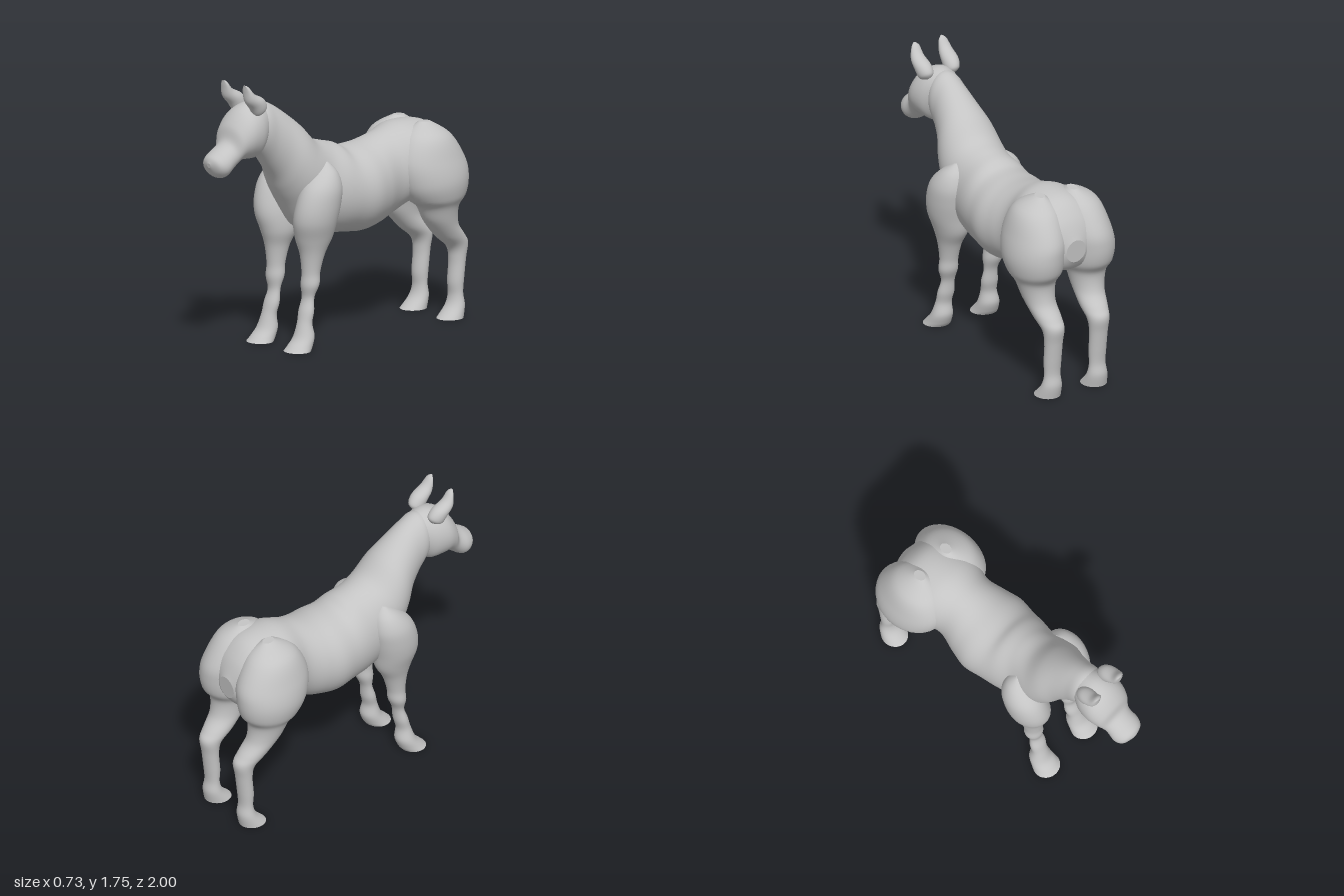
import * as THREE from 'three';

const coat = new THREE.MeshStandardMaterial({ color: 0xc4c4c4 });
coat.name = 'plain grey coat';

const spline = (p0, p1, p2, p3, t) => 0.5 * (2 * p1 + (p2 - p0) * t
  + (2 * p0 - 5 * p1 + 4 * p2 - p3) * t * t + (3 * p1 - p0 - 3 * p2 + p3) * t * t * t);

// Smooth loft through elliptical rings. Each section is
// [upper z, upper y, lower z, lower y, half width, centre x]; the first two
// points are opposite ends of the ring in the side profile.
function loft(name, sections, side = 1, sides = 36, steps = 6) {
  const rings = [];
  const n = sections.length;
  const at = (i, k) => sections[Math.min(n - 1, Math.max(0, i))][k] ?? 0;
  for (let i = 0; i < n - 1; i++) {
    for (let s = 0; s < steps + (i === n - 2 ? 1 : 0); s++) {
      rings.push([0, 1, 2, 3, 4, 5].map((k) =>
        spline(at(i - 1, k), at(i, k), at(i + 1, k), at(i + 2, k), s / steps)));
    }
  }
  const pos = [];
  const index = [];
  const addRing = ([az, ay, bz, by, w, cx]) => {
    for (let j = 0; j < sides; j++) {
      const c = Math.cos((j / sides) * Math.PI * 2);
      const s = Math.sin((j / sides) * Math.PI * 2);
      pos.push(side * cx + w * s,
        Math.max(0, (ay + by) / 2 + c * (ay - by) / 2),
        (az + bz) / 2 + c * (az - bz) / 2);
    }
  };
  rings.forEach(addRing);
  for (let i = 0; i < rings.length - 1; i++) {
    for (let j = 0; j < sides; j++) {
      const a = i * sides + j;
      const b = i * sides + (j + 1) % sides;
      index.push(a, b, b + sides, a, b + sides, a + sides);
    }
  }
  // End caps with their own vertices, so the rims stay sharp
  for (const first of [true, false]) {
    const r = first ? rings[0] : rings[rings.length - 1];
    const start = pos.length / 3;
    addRing(r);
    pos.push(side * r[5], (r[1] + r[3]) / 2, (r[0] + r[2]) / 2);
    for (let j = 0; j < sides; j++) {
      const a = start + j;
      const b = start + (j + 1) % sides;
      index.push(start + sides, first ? b : a, first ? a : b);
    }
  }
  const geo = new THREE.BufferGeometry();
  geo.setAttribute('position', new THREE.Float32BufferAttribute(pos, 3));
  geo.setIndex(index);
  geo.computeVertexNormals();
  const mesh = new THREE.Mesh(geo, coat);
  mesh.name = name;
  return mesh;
}

// Neck, chest, barrel and rump in one sweep
const TRUNK = [
  [0.66, 1.58, 0.66, 1.32, 0.08],
  [0.58, 1.6, 0.6, 1.26, 0.12],
  [0.5, 1.57, 0.53, 1.17, 0.13],
  [0.4, 1.505, 0.47, 1.085, 0.155],
  [0.28, 1.41, 0.43, 1.0, 0.195],
  [0.17, 1.3, 0.38, 0.91, 0.215],
  [0.06, 1.26, 0.27, 0.74, 0.22],
  [-0.03, 1.235, 0.09, 0.675, 0.245],
  [-0.1, 1.2, -0.07, 0.655, 0.26],
  [-0.2, 1.197, -0.2, 0.64, 0.275],
  [-0.3, 1.207, -0.33, 0.66, 0.25],
  [-0.43, 1.24, -0.45, 0.7, 0.22],
  [-0.58, 1.28, -0.58, 0.76, 0.26],
  [-0.77, 1.26, -0.74, 0.77, 0.25],
  [-0.88, 1.16, -0.87, 0.81, 0.2],
  [-0.94, 1.03, -0.93, 0.88, 0.07],
];

// Muzzle back to poll
const HEAD = [
  [1.0, 1.265, 0.995, 1.235, 0.015],
  [0.985, 1.3, 0.96, 1.178, 0.078],
  [0.94, 1.333, 0.905, 1.16, 0.105],
  [0.862, 1.385, 0.84, 1.205, 0.103],
  [0.83, 1.48, 0.78, 1.25, 0.135],
  [0.755, 1.57, 0.72, 1.25, 0.155],
  [0.66, 1.607, 0.64, 1.25, 0.143],
  [0.56, 1.59, 0.58, 1.31, 0.1],
];

// Ear from tip to base
const EAR = [
  [0.79, 1.745, 0.787, 1.74, 0.008, 0.1],
  [0.765, 1.735, 0.785, 1.7, 0.03, 0.1],
  [0.72, 1.685, 0.775, 1.635, 0.045, 0.103],
  [0.645, 1.645, 0.735, 1.585, 0.053, 0.1],
  [0.61, 1.595, 0.7, 1.535, 0.045, 0.095],
  [0.63, 1.55, 0.66, 1.535, 0.01, 0.09],
];

// Shoulder down to hoof
const FRONT_LEG = [
  [0.16, 1.175, 0.2, 1.17, 0.03, 0.16],
  [0.11, 1.11, 0.28, 1.115, 0.085, 0.18],
  [0.09, 1.02, 0.36, 1.03, 0.115, 0.195],
  [0.1, 0.92, 0.405, 0.92, 0.125, 0.193],
  [0.12, 0.81, 0.417, 0.81, 0.125, 0.18],
  [0.14, 0.7, 0.39, 0.7, 0.108, 0.162],
  [0.195, 0.6, 0.36, 0.6, 0.077, 0.163],
  [0.23, 0.49, 0.347, 0.48, 0.06, 0.162],
  [0.24, 0.41, 0.352, 0.4, 0.063, 0.162],
  [0.273, 0.33, 0.343, 0.32, 0.046, 0.157],
  [0.283, 0.24, 0.368, 0.24, 0.056, 0.16],
  [0.3, 0.165, 0.388, 0.165, 0.053, 0.165],
  [0.29, 0.09, 0.42, 0.08, 0.07, 0.17],
  [0.31, 0.03, 0.465, 0.03, 0.08, 0.172],
  [0.33, 0, 0.495, 0, 0.088, 0.173],
];

// Haunch, hock and hoof
const HIND_LEG = [
  [-0.74, 1.275, -0.66, 1.28, 0.03, 0.12],
  [-0.86, 1.19, -0.53, 1.2, 0.135, 0.145],
  [-0.95, 1.04, -0.46, 1.05, 0.175, 0.165],
  [-0.965, 0.93, -0.48, 0.9, 0.182, 0.182],
  [-0.945, 0.82, -0.54, 0.8, 0.162, 0.185],
  [-0.89, 0.735, -0.61, 0.745, 0.125, 0.185],
  [-0.9, 0.615, -0.66, 0.65, 0.1, 0.18],
  [-0.965, 0.53, -0.76, 0.535, 0.085, 0.17],
  [-1.0, 0.475, -0.86, 0.45, 0.07, 0.165],
  [-0.985, 0.38, -0.88, 0.36, 0.06, 0.165],
  [-0.97, 0.26, -0.87, 0.23, 0.058, 0.165],
  [-0.96, 0.16, -0.875, 0.14, 0.055, 0.165],
  [-0.97, 0.08, -0.85, 0.07, 0.068, 0.167],
  [-0.955, 0, -0.78, 0, 0.082, 0.17],
];

export function createModel() {
  const model = new THREE.Group();
  model.name = 'horse';
  model.add(loft('neckAndBody', TRUNK, 1, 48), loft('head', HEAD));
  for (const [label, side] of [['left', 1], ['right', -1]]) {
    model.add(
      loft(label + 'Ear', EAR, side, 24),
      loft(label + 'FrontLeg', FRONT_LEG, side),
      loft(label + 'HindLeg', HIND_LEG, side),
    );
  }
  return model;
}
